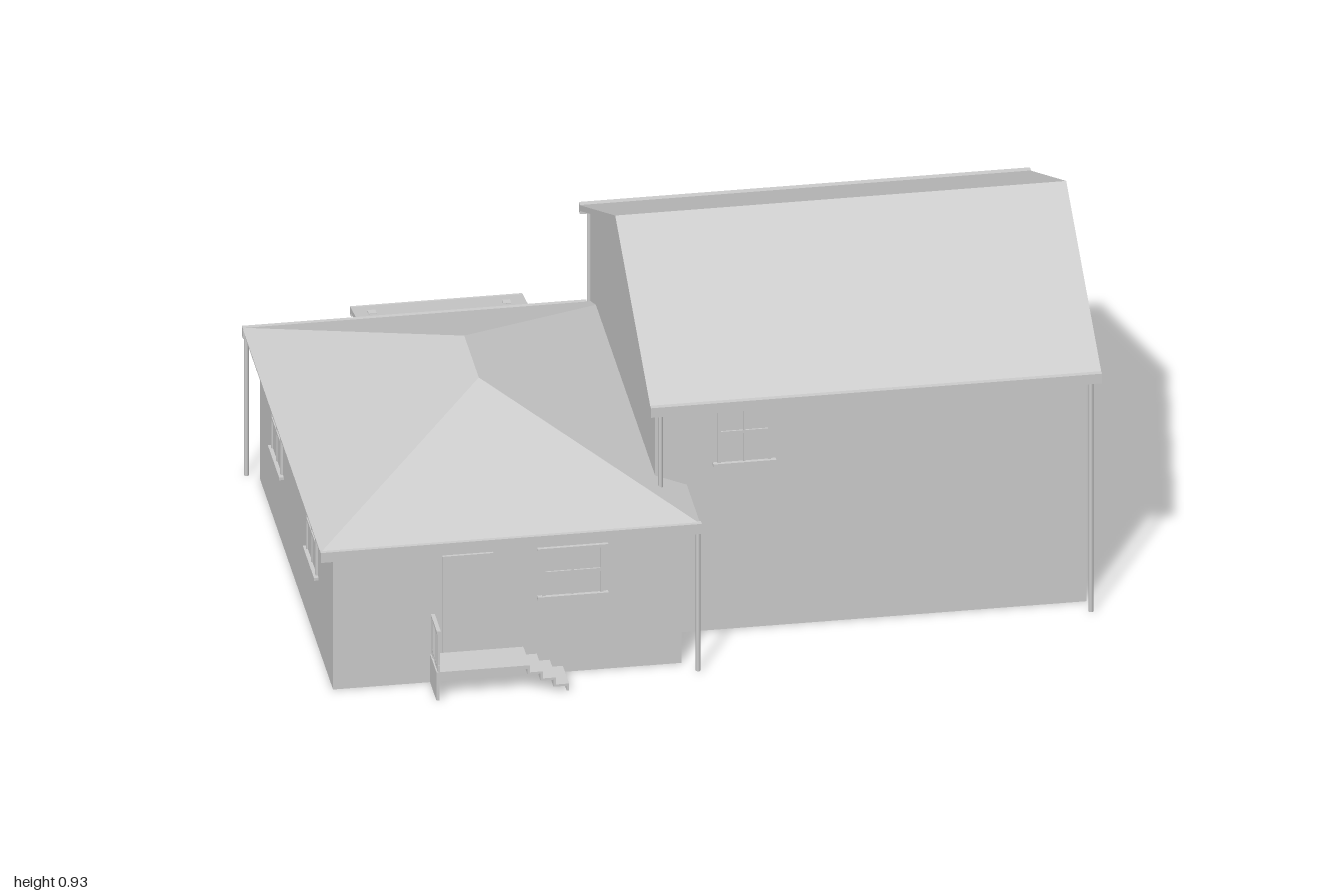
import * as THREE from 'three';

const grey = new THREE.MeshStandardMaterial({ color: 0xcccccc });
grey.name = 'plainGrey';

function add(parent, name, geometry) {
  const m = new THREE.Mesh(geometry, grey);
  m.name = name;
  parent.add(m);
  return m;
}

// box given by its extents on each axis
function box(parent, name, x0, x1, y0, y1, z0, z1) {
  const m = add(parent, name, new THREE.BoxGeometry(x1 - x0, y1 - y0, z1 - z0));
  m.position.set((x0 + x1) / 2, (y0 + y1) / 2, (z0 + z1) / 2);
  return m;
}

// [z, y] profile swept from x0 to x1
function sweepX(parent, name, profile, x0, x1) {
  const shape = new THREE.Shape(profile.map(([z, y]) => new THREE.Vector2(-z, y)));
  const g = new THREE.ExtrudeGeometry(shape, { depth: x1 - x0, bevelEnabled: false });
  return add(parent, name, g.rotateY(Math.PI / 2).translate(x0, 0, 0));
}

function group(parent, name) {
  const g = new THREE.Group();
  g.name = name;
  parent.add(g);
  return g;
}

// sash window on a wall; turn rotates it from facing +z
function sashWindow(parent, name, x, y, z, w, h, turn) {
  const g = group(parent, name), t = 0.008, a = w / 2, b = h / 2;
  g.position.set(x, y, z);
  g.rotation.y = turn;
  box(g, 'pane', -a, a, -b, b, 0, 0.002);
  for (const s of [-1, 1]) box(g, 'jamb', s * (a - t / 2) - t / 2, s * (a - t / 2) + t / 2, -b, b, 0, 0.006);
  box(g, 'meetingRail', -a, a, -t / 2, t / 2, 0, 0.006);
  box(g, 'mullion', -0.003, 0.003, -b, b, 0, 0.005);
  box(g, 'lintel', -a - 0.012, a + 0.012, b - 0.004, b + 0.004, 0, 0.009);
  box(g, 'sill', -a - 0.012, a + 0.012, -b - 0.004, -b + 0.004, 0, 0.012);
}

// panelled door facing +z or turned
function door(parent, name, x, y, z, w, h, turn) {
  const g = group(parent, name);
  g.position.set(x, y, z);
  g.rotation.y = turn;
  box(g, 'leaf', -w / 2, w / 2, 0, h, 0, 0.003);
  for (const s of [-1, 1]) box(g, 'jamb', s * w / 2 - 0.004, s * w / 2 + 0.004, 0, h, 0, 0.007);
  box(g, 'head', -w / 2, w / 2, h - 0.008, h, 0, 0.007);
}

// railing running along z at a fixed x
function railing(parent, x, z0, z1, y0, y1) {
  const g = group(parent, 'railing');
  box(g, 'handrail', x - 0.005, x + 0.005, y1 - 0.008, y1, z0, z1);
  box(g, 'bottomRail', x - 0.003, x + 0.003, y0 + 0.012, y0 + 0.018, z0, z1);
  for (let i = 0; i <= 5; i++) {
    const z = z0 + 0.004 + (z1 - z0 - 0.008) * i / 5;
    box(g, 'baluster', x - 0.003, x + 0.003, y0, y1, z - 0.003, z + 0.003);
  }
}

function pipe(parent, x, z, top) {
  const m = add(parent, 'downpipe', new THREE.CylinderGeometry(0.006, 0.006, top, 10));
  m.position.set(x, top / 2, z);
}

// hip roof above a rectangle, ridge along z
function hipRoof(x0, x1, z0, z1, y0, y1, xr, r0, r1) {
  const a = [x0, y0, z0], b = [x1, y0, z0], c = [x1, y0, z1], d = [x0, y0, z1];
  const p = [xr, y1, r0], q = [xr, y1, r1];
  const tris = [d, c, q, b, a, p, c, b, p, c, p, q, a, d, q, a, q, p];
  const g = new THREE.BufferGeometry();
  g.setAttribute('position', new THREE.Float32BufferAttribute(tris.flat(), 3));
  g.computeVertexNormals();
  return g;
}

function mainHouse(root) {
  const g = group(root, 'twoStoreyHouse');
  sweepX(g, 'walls', [[0.47, 0], [0.47, 0.675], [-0.025, 0.91], [-0.53, 0.67], [-0.53, 0]], -0.12, 0.97);
  sweepX(g, 'gableRoof', [[0.525, 0.668], [-0.025, 0.925], [-0.575, 0.665], [-0.575, 0.649],
    [-0.025, 0.908], [0.525, 0.652]], -0.14, 1);
  box(g, 'frontGutter', -0.14, 1, 0.645, 0.672, 0.513, 0.53);
  box(g, 'backGutter', -0.14, 1, 0.642, 0.668, -0.587, -0.57);
  for (const x of [-0.115, 0.973]) for (const z of [0.524, -0.58]) pipe(g, x, z, 0.65);

  sashWindow(g, 'frontWindow', 0.105, 0.557, 0.47, 0.135, 0.175, 0);
  for (const x of [0.7, 0.16]) sashWindow(g, 'backWindow', x, 0.56, -0.53, 0.16, 0.175, Math.PI);
  sashWindow(g, 'smallGableWindow', 0.97, 0.578, 0.24, 0.08, 0.1, Math.PI / 2);
  sashWindow(g, 'largeGableWindow', 0.97, 0.557, -0.245, 0.15, 0.175, Math.PI / 2);
}

function wing(root) {
  const g = group(root, 'singleStoreyWing');
  // foundation walls are hollow below the floor
  for (const x of [-0.96, -0.09]) box(g, 'foundationSide', x, x + 0.01, 0, 0.08, -0.5, 0.63);
  for (const z of [-0.5, 0.62]) box(g, 'foundationEnd', -0.95, -0.09, 0, 0.08, z, z + 0.01);
  box(g, 'walls', -0.96, -0.08, 0.08, 0.4, -0.5, 0.63);
  box(g, 'eaves', -0.995, -0.045, 0.395, 0.416, -0.525, 0.675);
  add(g, 'hipRoof', hipRoof(-1, -0.04, -0.53, 0.68, 0.416, 0.613, -0.52, -0.035, 0.19));
  box(g, 'frontGutter', -1, -0.037, 0.39, 0.418, 0.668, 0.685);
  box(g, 'backGutter', -1, -0.13, 0.39, 0.418, -0.537, -0.52);
  pipe(g, -0.045, 0.676, 0.395);
  pipe(g, -0.99, -0.528, 0.395);

  door(g, 'frontDoor', -0.62, 0.085, 0.63, 0.12, 0.27, 0);
  sashWindow(g, 'frontWindow', -0.355, 0.285, 0.63, 0.155, 0.135, 0);
  for (const z of [-0.22, 0.32]) sashWindow(g, 'sideWindow', -0.96, 0.285, z, 0.15, 0.18, -Math.PI / 2);
  sashWindow(g, 'backWindow', -0.82, 0.27, -0.5, 0.15, 0.15, Math.PI);
  door(g, 'backDoor', -0.48, 0.085, -0.5, 0.12, 0.27, Math.PI);
  sashWindow(g, 'porchWindow', -0.35, 0.26, -0.5, 0.07, 0.15, Math.PI);
}

// landing at the front door with steps going down towards +x
function frontSteps(root) {
  const g = group(root, 'frontSteps');
  box(g, 'landing', -0.715, -0.48, 0.07, 0.08, 0.63, 0.73);
  box(g, 'supportPanel', -0.715, -0.707, 0, 0.07, 0.63, 0.73);
  for (let i = 0; i < 4; i++) {
    const x = -0.485 + i * 0.033, y = 0.08 - i * 0.02;
    box(g, 'riser', x, x + 0.006, y - 0.02, y, 0.635, 0.73);
    if (i < 3) box(g, 'tread', x, x + 0.036, y - 0.026, y - 0.02, 0.635, 0.73);
  }
  railing(g, -0.709, 0.635, 0.73, 0.08, 0.195);
}

function backPorch(root) {
  const g = group(root, 'backPorch');
  box(g, 'floor', -0.68, -0.3, 0, 0.08, -0.62, -0.5);
  sweepX(g, 'porchRoof', [[-0.5, 0.408], [-0.5, 0.394], [-0.66, 0.366], [-0.66, 0.38]], -0.705, -0.27);
  box(g, 'porchGutter', -0.705, -0.27, 0.356, 0.378, -0.67, -0.655);
  box(g, 'beam', -0.68, -0.3, 0.362, 0.38, -0.615, -0.595);
  for (const x of [-0.66, -0.32]) {
    box(g, 'post', x - 0.01, x + 0.01, 0.08, 0.393, -0.615, -0.595);
    box(g, 'postBase', x - 0.014, x + 0.014, 0.08, 0.11, -0.619, -0.591);
    railing(g, x, -0.595, -0.505, 0.08, 0.195);
  }
  // stairs down to the garden
  for (let i = 0; i < 3; i++) box(g, 'step', -0.56, -0.41, 0, 0.078 - i * 0.026, -0.655 - i * 0.04, -0.615 - i * 0.04);
}

export function createModel() {
  const root = new THREE.Group();
  root.name = 'house';
  mainHouse(root);
  wing(root);
  frontSteps(root);
  backPorch(root);
  return root;
}
